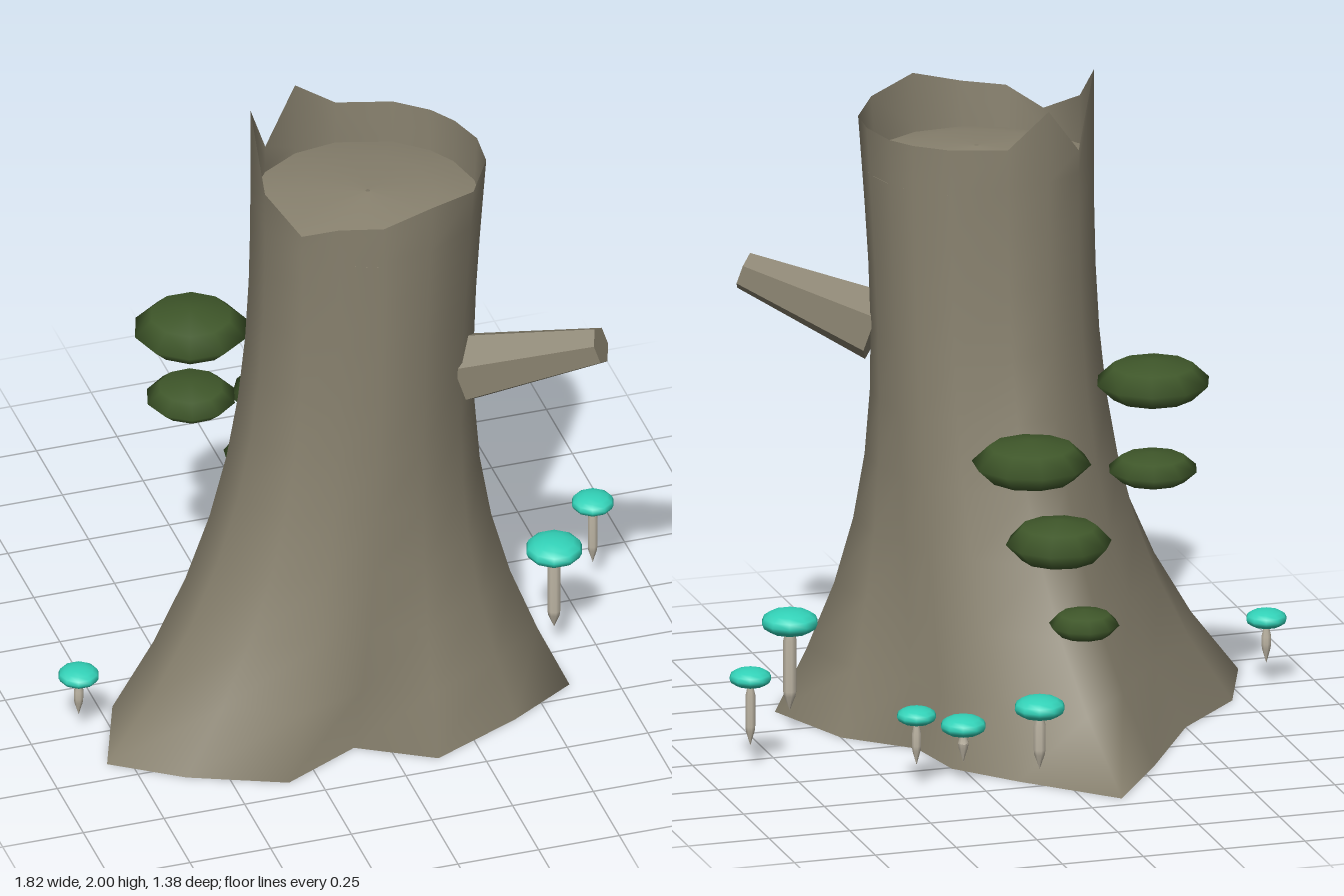
import * as THREE from 'three';

const bark = new THREE.MeshStandardMaterial({ color: 0x89826f, side: THREE.DoubleSide });
bark.name = 'bark';
const branchBark = new THREE.MeshStandardMaterial({ color: 0x89826f, flatShading: true });
branchBark.name = 'branch bark';
const moss = new THREE.MeshStandardMaterial({ color: 0x3f572a });
moss.name = 'moss green';
const teal = new THREE.MeshStandardMaterial({ color: 0x32d2b8 });
teal.name = 'teal';
const cream = new THREE.MeshStandardMaterial({ color: 0xbdb5a4 });
cream.name = 'cream';

// trunk columns: root x, root z, angle on the rim, rim height, waist pinch
const COLUMNS = [
  [0.61, 0.43, 15, 1.845, 0.085], [0.40, 0.56, 45, 1.85, 0.08], [0.12, 0.69, 75, 1.88, 0.075],
  [-0.10, 0.56, 100, 1.84, 0.04], [-0.34, 0.68, 122, 1.83, 0.07], [-0.62, 0.56, 142, 1.775, 0.03],
  [-0.82, 0.42, 168, 1.85, 0], [-0.71, 0.13, 206, 2.0, 0], [-0.50, -0.08, 228, 1.79, 0],
  [-0.30, -0.41, 250, 1.94, 0], [-0.11, -0.69, 272, 1.84, 0.01], [0.13, -0.44, 300, 1.84, 0.02],
  [0.28, -0.26, 320, 1.84, 0.03], [0.32, -0.04, 335, 1.84, 0.04], [0.50, 0.13, 355, 1.845, 0.07],
];
const AXIS = { x: 0.04, z: 0.26, r: 0.35 };

// a column sweeps from its root in to the round rim, pinched at the waist
function trunkPoint([bx, bz, deg, , pinch], y) {
  const a = THREE.MathUtils.degToRad(deg);
  const u = Math.min(y / 1.85, 1);
  const t = Math.pow(1 - u, 3.1);
  const r = AXIS.r - pinch * Math.sin(Math.PI * Math.sqrt(u));
  return [
    THREE.MathUtils.lerp(AXIS.x + r * Math.cos(a), bx, t),
    y,
    THREE.MathUtils.lerp(AXIS.z + r * Math.sin(a), bz, t),
  ];
}

// closed rings of equal count joined into a skin
function skin(rings) {
  const n = rings[0].length;
  const index = [];
  for (let r = 0; r < rings.length - 1; r++) {
    for (let i = 0; i < n; i++) {
      const a = r * n + i, b = r * n + (i + 1) % n;
      index.push(a, a + n, b, b, a + n, b + n);
    }
  }
  const g = new THREE.BufferGeometry();
  g.setAttribute('position', new THREE.Float32BufferAttribute(rings.flat(2), 3));
  g.setIndex(index);
  g.computeVertexNormals();
  return g;
}

function add(parent, name, geometry, material) {
  const m = new THREE.Mesh(geometry, material);
  m.name = name;
  parent.add(m);
  return m;
}

function makeTrunk(group) {
  const rows = [0, 0.2, 0.4, 0.6, 0.8, 1.0, 1.2, 1.4, 1.58, 1.72];
  const rings = rows.map(y => COLUMNS.map(c => trunkPoint(c, y)));
  rings.push(COLUMNS.map(c => trunkPoint(c, c[3])));
  add(group, 'trunk', skin(rings), bark);

  // slightly domed broken wood, sunk below the jagged rim
  const edge = COLUMNS.map(c => trunkPoint(c, 1.7));
  const core = [[1, 1.7], [0.6, 1.735], [0.02, 1.75]].map(([k, y]) =>
    edge.map(([x, , z]) => [AXIS.x + (x - AXIS.x) * k, y, AXIS.z + (z - AXIS.z) * k]));
  add(group, 'heartwood', skin(core), bark);
}

function makeBranch(group) {
  const from = new THREE.Vector3(0.30, 1.17, 0.41);
  const to = new THREE.Vector3(0.645, 1.31, 0.625);
  const dir = to.clone().sub(from);
  const branch = add(group, 'brokenBranch', new THREE.CylinderGeometry(0.058, 0.11, dir.length(), 6), branchBark);
  branch.position.copy(from).add(to).multiplyScalar(0.5);
  branch.quaternion.setFromUnitVectors(new THREE.Vector3(0, 1, 0), dir.normalize());
}

function makeShelves(group) {
  // x, y, z, radius, half thickness
  const shelves = [
    [-0.38, 1.10, -0.14, 0.172, 0.068], [-0.37, 0.84, -0.17, 0.135, 0.05],
    [0.04, 0.93, -0.28, 0.178, 0.07], [-0.03, 0.69, -0.325, 0.158, 0.07],
    [-0.09, 0.45, -0.385, 0.105, 0.045],
  ];
  const lens = new THREE.SphereGeometry(1, 10, 4);
  for (const [x, y, z, r, h] of shelves) {
    const s = add(group, 'shelfFungus', lens, moss);
    s.position.set(x, y, z);
    s.scale.set(r, h, r);
    s.rotation.y = x * 5;
  }
}

function makeMushrooms(group) {
  // x, cap height, z, cap radius
  const spots = [
    [-0.85, 0.208, 0.24, 0.062], [0.63, 0.343, 0.22, 0.086], [0.845, 0.28, -0.075, 0.064],
    [0.435, 0.222, -0.405, 0.06], [0.295, 0.183, -0.42, 0.069], [0.10, 0.26, -0.55, 0.077],
  ];
  const capShape = new THREE.SphereGeometry(1, 10, 8);
  for (const [x, y, z, r] of spots) {
    const m = new THREE.Group();
    m.name = 'mushroom';
    m.position.set(x, 0, z);
    const cap = add(m, 'mushroomCap', capShape, teal);
    cap.position.y = y;
    cap.scale.set(r, r * 0.46, r);
    // stem tapering to a point below
    const w = r * 0.24;
    const profile = [[0, 0.07], [w * 0.9, 0.115], [w, 0.13], [w, y - 0.055], [w * 0.7, y - 0.035], [w * 0.6, y]];
    add(m, 'mushroomStem', new THREE.LatheGeometry(profile.map(p => new THREE.Vector2(...p)), 8), cream);
    group.add(m);
  }
}

export function createModel() {
  const group = new THREE.Group();
  group.name = 'treeStump';
  makeTrunk(group);
  makeBranch(group);
  makeShelves(group);
  makeMushrooms(group);
  return group;
}
